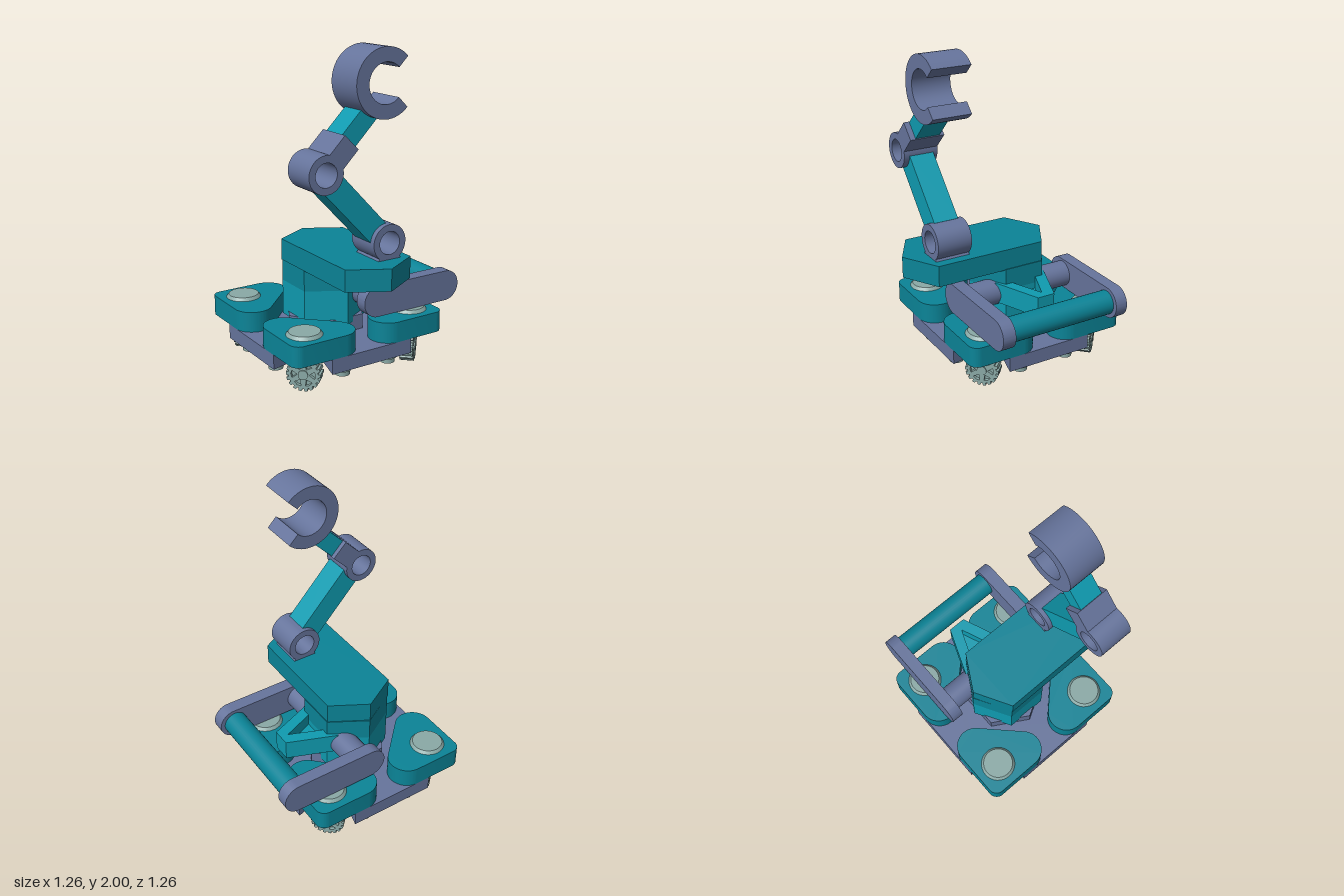
import * as THREE from 'three';
import { toCreasedNormals } from 'three/addons/utils/BufferGeometryUtils.js';

const C = -0.095; // centre of the chassis in x and z
const paint = (color) => new THREE.MeshStandardMaterial({ color });
const slate = paint(0x66749c), teal = paint(0x0b8497), brightTeal = paint(0x0f9bb0), pale = paint(0x8aa9a6);

export function createModel() {
  const model = new THREE.Group();

  const add = (name, geometry, material, parent = model) => {
    const mesh = new THREE.Mesh(geometry, material);
    mesh.name = name;
    parent.add(mesh);
    return mesh;
  };
  const path = (pts) => new THREE.Path(pts.map(([x, y]) => new THREE.Vector2(x, y)));
  const outline = (pts) => new THREE.Shape(pts.map(([x, y]) => new THREE.Vector2(x, y)));
  const extrude = (shape, depth) => toCreasedNormals(
    new THREE.ExtrudeGeometry(shape, { depth, bevelEnabled: false, curveSegments: 20 }), 0.5);
  // plan outline (x, -z) raised from y0 to y1
  const slab = (shape, y0, y1) => extrude(shape, y1 - y0).rotateX(-Math.PI / 2).translate(0, y0, 0);
  // front outline (x, y) running from z0 to z1
  const frontal = (shape, z0, z1) => extrude(shape, z1 - z0).translate(0, 0, z0);
  const plan = (pts) => pts.map(([x, z]) => [x, -z]);
  const hexagon = (r, turn) => Array.from({ length: 6 }, (_, i) => {
    const a = turn + i * Math.PI / 3;
    return [C + r * Math.cos(a), -C + r * Math.sin(a)];
  });
  const ring = (x, y, R, r) => {
    const s = new THREE.Shape().absarc(x, y, R, 0, Math.PI * 2);
    s.holes.push(new THREE.Path().absarc(x, y, r, 0, Math.PI * 2, true));
    return s;
  };

  // chassis plate with a notch at each corner and a hexagonal opening
  const platePts = [];
  for (let i = 0; i < 4; i++) {
    const c = Math.round(Math.cos(i * Math.PI / 2)), s = Math.round(Math.sin(i * Math.PI / 2));
    for (const [x, y] of [[0.535, -0.285], [0.535, 0.285], [0.24, 0.205], [0.205, 0.24]])
      platePts.push([C + x * c - y * s, -C + x * s + y * c]);
  }
  const plate = outline(platePts);
  plate.holes.push(path(hexagon(0.262, 0)));
  add('chassisPlate', slab(plate, 0.122, 0.215), slate);
  add('turntable', slab(outline(hexagon(0.265, 0)), 0.18, 0.31), slate);

  // fender, wheel and studs for one corner, pointing to +x +z
  const fender = new THREE.Shape()
    .absarc(0.475, -0.475, 0.06, -Math.PI / 2, 0, false)
    .absarc(0.415, -0.19, 0.12, 0, Math.PI * 3 / 4, false)
    .absarc(0.19, -0.415, 0.12, Math.PI * 3 / 4, Math.PI * 3 / 2, false);
  const fenderGeo = slab(fender, 0.215, 0.345);
  const capGeo = toCreasedNormals(new THREE.CylinderGeometry(0.095, 0.11, 0.02, 32), 0.3);
  const studGeo = toCreasedNormals(new THREE.LatheGeometry(
    [[0, 0.07], [0.045, 0.07], [0.045, 0.1], [0.055, 0.1], [0.055, 0.125], [0, 0.125]]
      .map(([r, y]) => new THREE.Vector2(r, y)), 24), 0.5);

  // toothed wheel with wedge openings between spokes
  const teeth = 18, gearPts = [];
  for (let i = 0; i < teeth; i++)
    for (const [f, r] of [[-0.3, 0.105], [0.2, 0.105], [0.3, 0.09], [0.6, 0.09]]) {
      const a = (i + f) * Math.PI * 2 / teeth;
      gearPts.push([r * Math.cos(a), r * Math.sin(a)]);
    }
  const gear = outline(gearPts);
  for (let i = 0; i < 6; i++) {
    const a = i * Math.PI / 3;
    gear.holes.push(path([[0.036, 0], [0.072, 0.33], [0.075, 0], [0.072, -0.33]]
      .map(([r, d]) => [r * Math.cos(a + d), r * Math.sin(a + d)])));
  }
  const gearGeo = extrude(gear, 0.085).translate(0, 0, -0.0425);

  for (let i = 0; i < 4; i++) {
    const corner = new THREE.Group();
    corner.name = 'corner' + (i + 1);
    corner.position.set(C, 0, C);
    corner.rotation.y = i * Math.PI / 2;
    model.add(corner);
    add('fender', fenderGeo, teal, corner);
    add('fenderCap', capGeo, pale, corner).position.set(0.38, 0.355, 0.38);
    for (const [x, z] of [[0.165, 0.455], [0.455, 0.165]])
      add('stud', studGeo, pale, corner).position.set(x, 0, z);
    const wheel = new THREE.Group();
    wheel.name = 'wheel';
    wheel.position.set(0.38, 0.105, 0.38);
    wheel.rotation.y = Math.PI / 4;
    corner.add(wheel);
    add('tyre', gearGeo, pale, wheel);
    const disc = (name, r, length, z) =>
      add(name, new THREE.CylinderGeometry(r, r, length, 24).rotateX(Math.PI / 2), pale, wheel).position.z = z;
    disc('web', 0.08, 0.04, 0);
    disc('hub', 0.03, 0.1, 0);
    disc('axle', 0.035, 0.13, -0.1);
    add('axleMount', new THREE.BoxGeometry(0.09, 0.12, 0.05), pale, wheel).position.set(0, 0.055, -0.12);
  }

  // body: hexagonal column with a long overhanging top
  add('lowerColumn', slab(outline(hexagon(0.265, Math.PI / 6)), 0.275, 0.5), brightTeal);
  add('upperColumn', slab(outline(hexagon(0.265, Math.PI / 6)), 0.5, 0.64), teal);
  add('bodyTop', slab(outline(plan([[-0.1, 0.625], [0.13, 0.495], [0.13, -0.225],
    [-0.1, -0.355], [-0.33, -0.225], [-0.33, 0.495]])), 0.635, 0.77), teal);

  // tapered side nose with a triangular recess
  const nosePts = plan([[0.08, 0.085], [0.39, -0.037], [0.39, -0.153], [0.08, -0.275]]);
  const noseTop = outline(nosePts);
  noseTop.holes.push(path(plan([[0.13, -0.01], [0.34, -0.095], [0.13, -0.18]])));
  add('noseBase', slab(outline(nosePts), 0.41, 0.46), brightTeal);
  add('noseRim', slab(noseTop, 0.46, 0.54), brightTeal);

  // swinging side frame
  const link = new THREE.Shape()
    .absarc(0.0075, 0.4625, 0.0975, Math.PI / 2, Math.PI * 3 / 2, false)
    .absarc(0.5275, 0.4625, 0.0975, -Math.PI / 2, Math.PI / 2, false);
  add('frontLink', frontal(link, 0.26, 0.345), slate);
  add('backLink', frontal(link, -0.53, -0.45), slate);
  const rod = (name, x, r, material) => add(name,
    new THREE.CylinderGeometry(r, r, 0.73, 32).rotateX(Math.PI / 2).translate(x, 0.4625, -0.095), material);
  rod('frameBar', 0.52, 0.0765, teal);
  rod('pivotBar', 0.042, 0.083, slate);

  // arm: bars at an angle between hollow joints
  const shoulder = [-0.01, 0.87], elbow = [-0.44, 1.325];
  const beam = (name, [x, y], angle, from, to, width, z0, z1, material) => {
    const g = new THREE.BoxGeometry(to - from, width, z1 - z0).translate((from + to) / 2, 0, 0);
    add(name, g.rotateZ(angle).translate(x, y, (z0 + z1) / 2), material);
  };
  add('shoulderJoint', frontal(ring(...shoulder, 0.112, 0.07), 0.255, 0.48), slate);
  add('shoulderFoot', frontal(outline([[-0.09, 0.768], [0.07, 0.768], [0.055, 0.79], [-0.075, 0.79]]), 0.255, 0.48), slate);
  add('elbowJoint', frontal(ring(...elbow, 0.112, 0.07), 0.255, 0.48), slate);
  const rise = Math.atan2(elbow[1] - shoulder[1], elbow[0] - shoulder[0]);
  beam('lowerArm', shoulder, rise, 0.085, 0.54, 0.148, 0.285, 0.445, brightTeal);
  beam('elbowSocket', elbow, Math.PI / 4, 0.093, 0.233, 0.125, 0.255, 0.48, slate);
  beam('upperArm', elbow, Math.PI / 4, 0.2, 0.455, 0.115, 0.285, 0.445, brightTeal);

  // open claw
  const q = Math.PI / 4;
  const claw = new THREE.Shape()
    .absarc(-0.05, 1.798, 0.202, q, 7 * q, false)
    .absarc(-0.05, 1.798, 0.118, 7 * q, q, true);
  add('claw', frontal(claw, 0.24, 0.49), slate);

  return model;
}
